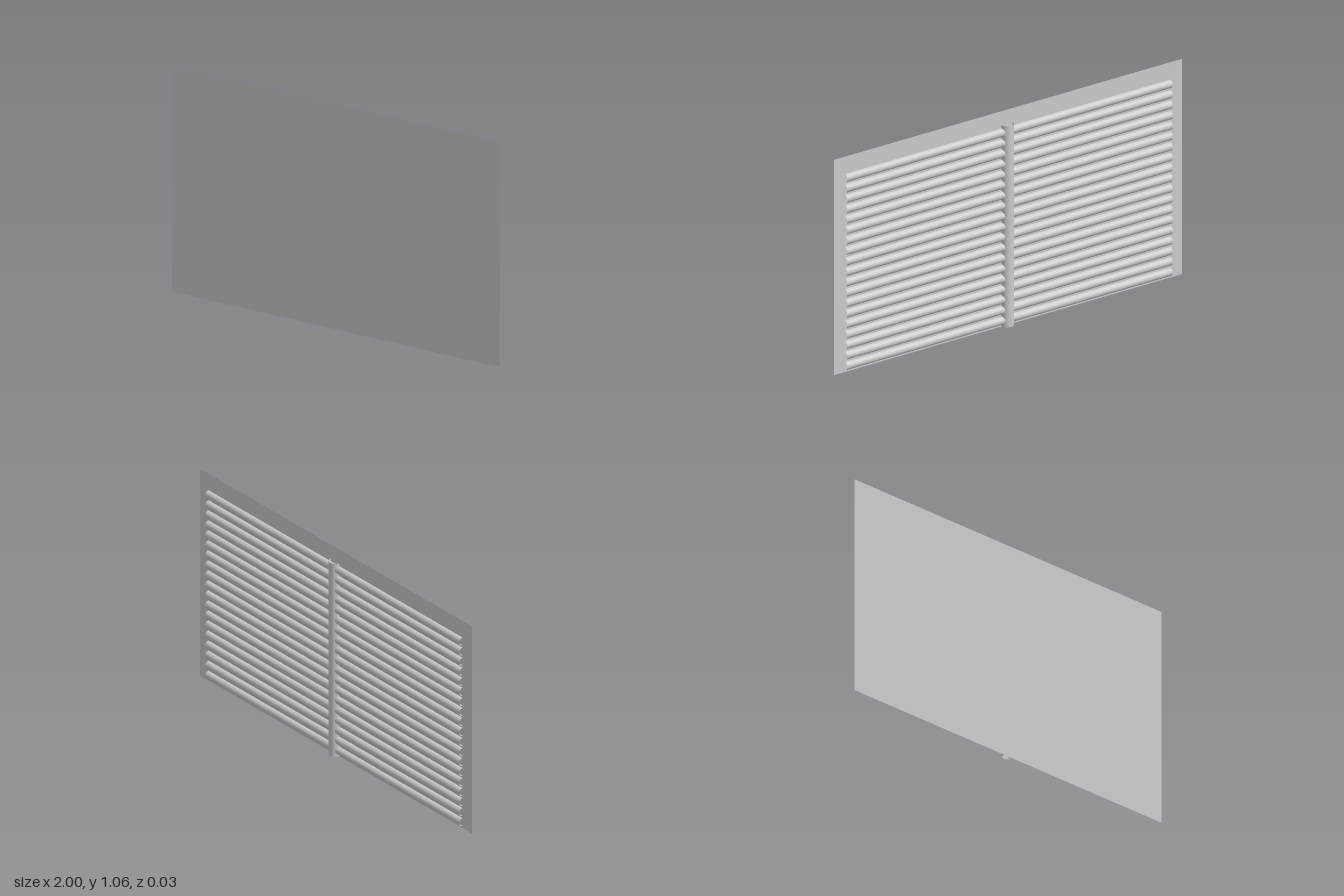
import * as THREE from 'three';

const WIDTH = 2, HEIGHT = 1.06, PANEL_Z = 0.0155;
const ROWS = 19, FIRST_Y = 0.03, PITCH = 0.0514;

const material = new THREE.MeshStandardMaterial({ color: 0xcccccc, side: THREE.DoubleSide });

// Open half cylinder along y, bulging towards -z
function halfTube(radius, length, segments) {
  return new THREE.CylinderGeometry(radius, radius, length, segments, 1, true, Math.PI / 2, Math.PI);
}

export function createModel() {
  const model = new THREE.Group();
  model.name = 'ribbedPanel';

  // Flat front sheet
  const sheet = new THREE.Mesh(new THREE.PlaneGeometry(WIDTH, HEIGHT), material);
  sheet.name = 'frontSheet';
  sheet.position.set(0, HEIGHT / 2, PANEL_Z);
  model.add(sheet);

  // Horizontal half-round ribs on the back
  const ribs = new THREE.Group();
  ribs.name = 'ribs';
  const ribGeometry = halfTube(0.02, 1.87, 16).rotateZ(Math.PI / 2);
  for (let i = 0; i < ROWS; i++) {
    const rib = new THREE.Mesh(ribGeometry, material);
    rib.name = `rib${i + 1}`;
    rib.position.set(0.003, FIRST_Y + i * PITCH, PANEL_Z);
    ribs.add(rib);
  }
  model.add(ribs);

  // Upright half-round post crossing the ribs
  const post = new THREE.Mesh(halfTube(0.031, 0.99, 24), material);
  post.name = 'centrePost';
  post.position.set(0.006, 0.495, PANEL_Z);
  model.add(post);

  return model;
}
